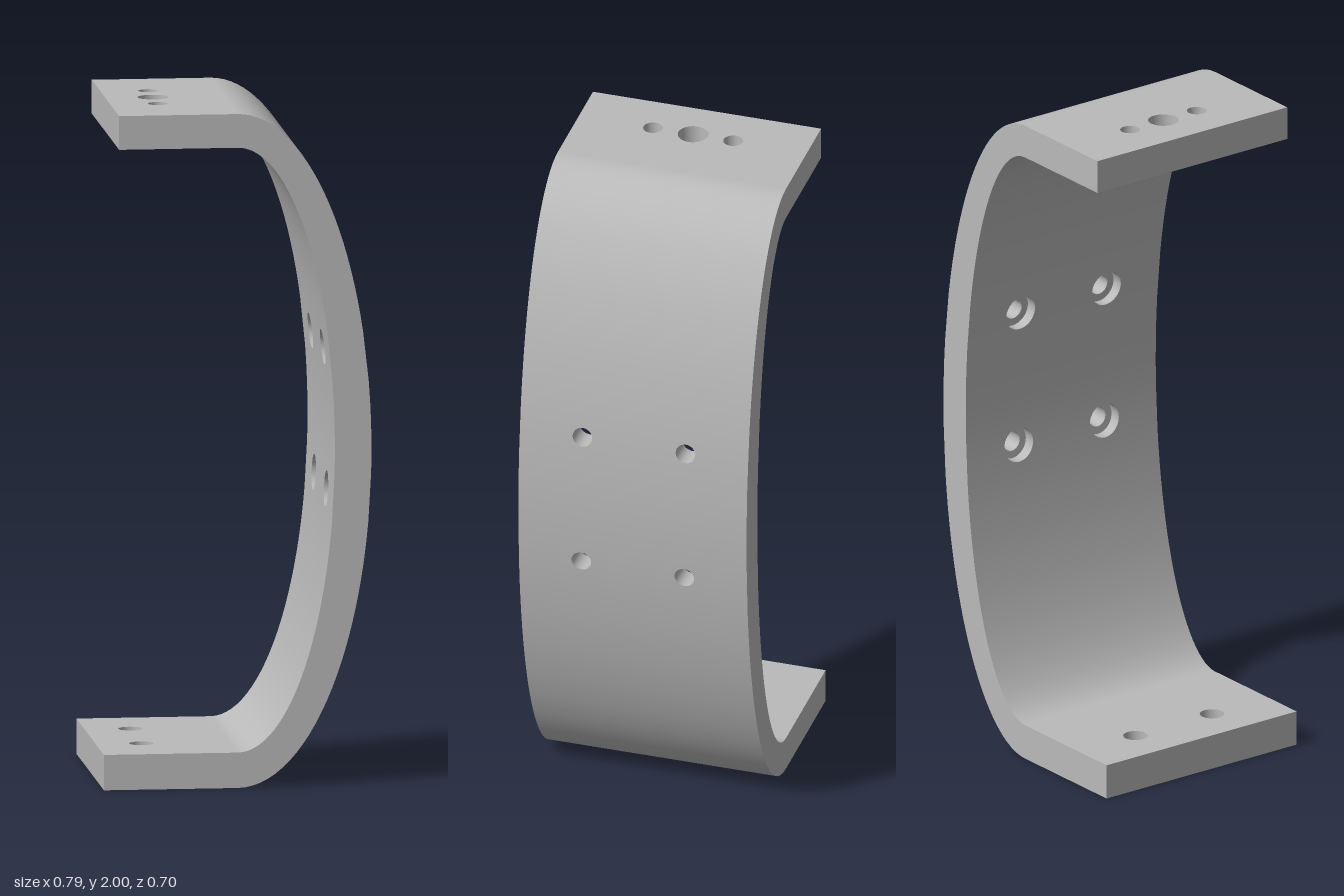
import * as THREE from 'three';
import { mergeGeometries } from 'three/addons/utils/BufferGeometryUtils.js';

const HALF = 0.35;                       // half width of the strap
const OUT = { a: 0.395, b: 1, c: 1 };    // outer half ellipse
const INN = { a: 0.287, b: 0.8975, c: 1.0025 }; // inner half ellipse

// A map turns flat (u, z) into a position and a normal.
const ellipseX = (e, y) => e.a * Math.sqrt(Math.max(0, 1 - ((y - e.c) / e.b) ** 2));
const curved = (e, sign, offset = 0) => (y, z) => {
  const x = ellipseX(e, y);
  const n = new THREE.Vector3(x / e.a ** 2, (y - e.c) / e.b ** 2, 0).normalize().multiplyScalar(sign);
  return [new THREE.Vector3(x + offset, y, z), n];
};
const level = (y, sign) => (x, z) => [new THREE.Vector3(x, y, z), new THREE.Vector3(0, sign, 0)];

function circle(h, Type) {
  return new Type().absarc(h.u, h.z, h.r, 0, Math.PI * 2, false);
}

function rect(u0, u1, holes = []) {
  const s = new THREE.Shape([[u0, -HALF], [u1, -HALF], [u1, HALF], [u0, HALF]]
    .map(p => new THREE.Vector2(...p)));
  s.holes = holes.map(h => circle(h, THREE.Path));
  return s;
}

// Flat shape laid onto a mapped surface, faces turned to the mapped normal
function skin(shape, map) {
  const g = new THREE.ShapeGeometry(shape, 16);
  const p = g.attributes.position, n = g.attributes.normal;
  for (let i = 0; i < p.count; i++) {
    const [v, m] = map(p.getX(i), p.getY(i));
    p.setXYZ(i, v.x, v.y, v.z);
    n.setXYZ(i, m.x, m.y, m.z);
  }
  const idx = g.index.array;
  const at = k => new THREE.Vector3().fromBufferAttribute(p, idx[k]);
  for (let i = 0; i < idx.length; i += 3) {
    const a = at(i), face = at(i + 1).sub(a).cross(at(i + 2).sub(a));
    if (face.dot(new THREE.Vector3().fromBufferAttribute(n, idx[i])) < 0) {
      [idx[i + 1], idx[i + 2]] = [idx[i + 2], idx[i + 1]];
    }
  }
  return g;
}

// Wall of a round hole between two mapped surfaces
function bore(h, mapA, mapB) {
  const g = new THREE.PlaneGeometry(1, 1, 32, 1);
  const p = g.attributes.position;
  for (let i = 0; i < p.count; i++) {
    const t = (p.getX(i) + 0.5) * Math.PI * 2;
    const [v] = (p.getY(i) > 0 ? mapA : mapB)(h.u + h.r * Math.cos(t), h.z + h.r * Math.sin(t));
    p.setXYZ(i, v.x, v.y, v.z);
  }
  g.computeVertexNormals();
  return g;
}

// Heights that cut the half ellipse into bands; the two bands with holes stay whole
function bandHeights(e) {
  const stops = [e.c - e.b, 0.78, 0.93, 1.2, 1.35, e.c + e.b];
  const counts = [24, 1, 4, 1, 24];
  const angle = y => Math.asin(THREE.MathUtils.clamp((y - e.c) / e.b, -1, 1));
  const ys = [stops[0]];
  counts.forEach((n, k) => {
    const a = angle(stops[k]), b = angle(stops[k + 1]);
    for (let i = 1; i <= n; i++) ys.push(i === n ? stops[k + 1] : e.c + e.b * Math.sin(a + (b - a) * i / n));
  });
  return ys;
}

function bands(e, holes, map) {
  const ys = bandHeights(e);
  return ys.slice(1).map((y, i) =>
    skin(rect(ys[i], y, holes.filter(h => h.u > ys[i] && h.u < y)), map));
}

export function createModel() {
  const group = new THREE.Group();
  const grey = new THREE.MeshStandardMaterial({ color: 0xbababa, side: THREE.DoubleSide });
  grey.name = 'satin grey';
  const add = (name, parts) => {
    const mesh = new THREE.Mesh(mergeGeometries(parts), grey);
    mesh.name = name;
    group.add(mesh);
  };

  // Flat end plates with their holes
  const plate = (name, x0, y0, y1, holes) => {
    const low = level(y0, -1), high = level(y1, 1);
    const end = new THREE.PlaneGeometry(HALF * 2, y1 - y0);
    end.rotateY(-Math.PI / 2).translate(x0, (y0 + y1) / 2, 0);
    add(name, [skin(rect(x0, 0, holes), low), skin(rect(x0, 0, holes), high), end,
      ...holes.map(h => bore(h, low, high))]);
  };
  plate('topPlate', -0.35, 1.9, 2, [
    { u: -0.21, z: 0, r: 0.045 },
    { u: -0.21, z: 0.123, r: 0.029 },
    { u: -0.21, z: -0.123, r: 0.029 },
  ]);
  plate('bottomPlate', -0.395, 0, 0.105, [
    { u: -0.26, z: 0.141, r: 0.036 },
    { u: -0.26, z: -0.141, r: 0.036 },
  ]);

  // Curved bow with four bolt holes, recessed on the inside
  const holes = [];
  for (const u of [0.855, 1.275]) for (const z of [-0.158, 0.158]) holes.push({ u, z, r: 0.03 });
  const recesses = holes.map(h => ({ ...h, r: 0.053 }));
  const outer = curved(OUT, 1), inner = curved(INN, -1), ledge = curved(INN, -1, 0.035);
  add('bowOuterFace', bands(OUT, holes, outer));
  add('bowInnerFace', bands(INN, recesses, inner));
  add('boltHoles', holes.map(h => bore(h, ledge, outer)));
  add('boltRecesses', recesses.flatMap((r, i) => {
    const ring = circle(r, THREE.Shape);
    ring.holes = [circle(holes[i], THREE.Path)];
    return [skin(ring, ledge), bore(r, inner, ledge)];
  }));

  // C-shaped side faces
  const edge = e => bandHeights(e).map(y => new THREE.Vector2(ellipseX(e, y), y));
  const profile = new THREE.Shape([
    new THREE.Vector2(-0.395, 0), ...edge(OUT), new THREE.Vector2(-0.35, 2),
    new THREE.Vector2(-0.35, 1.9), ...edge(INN).reverse(), new THREE.Vector2(-0.395, 0.105),
  ]);
  for (const s of [1, -1]) {
    add(s > 0 ? 'frontEdge' : 'backEdge', [skin(profile,
      (x, y) => [new THREE.Vector3(x, y, s * HALF), new THREE.Vector3(0, 0, s)])]);
  }
  return group;
}
